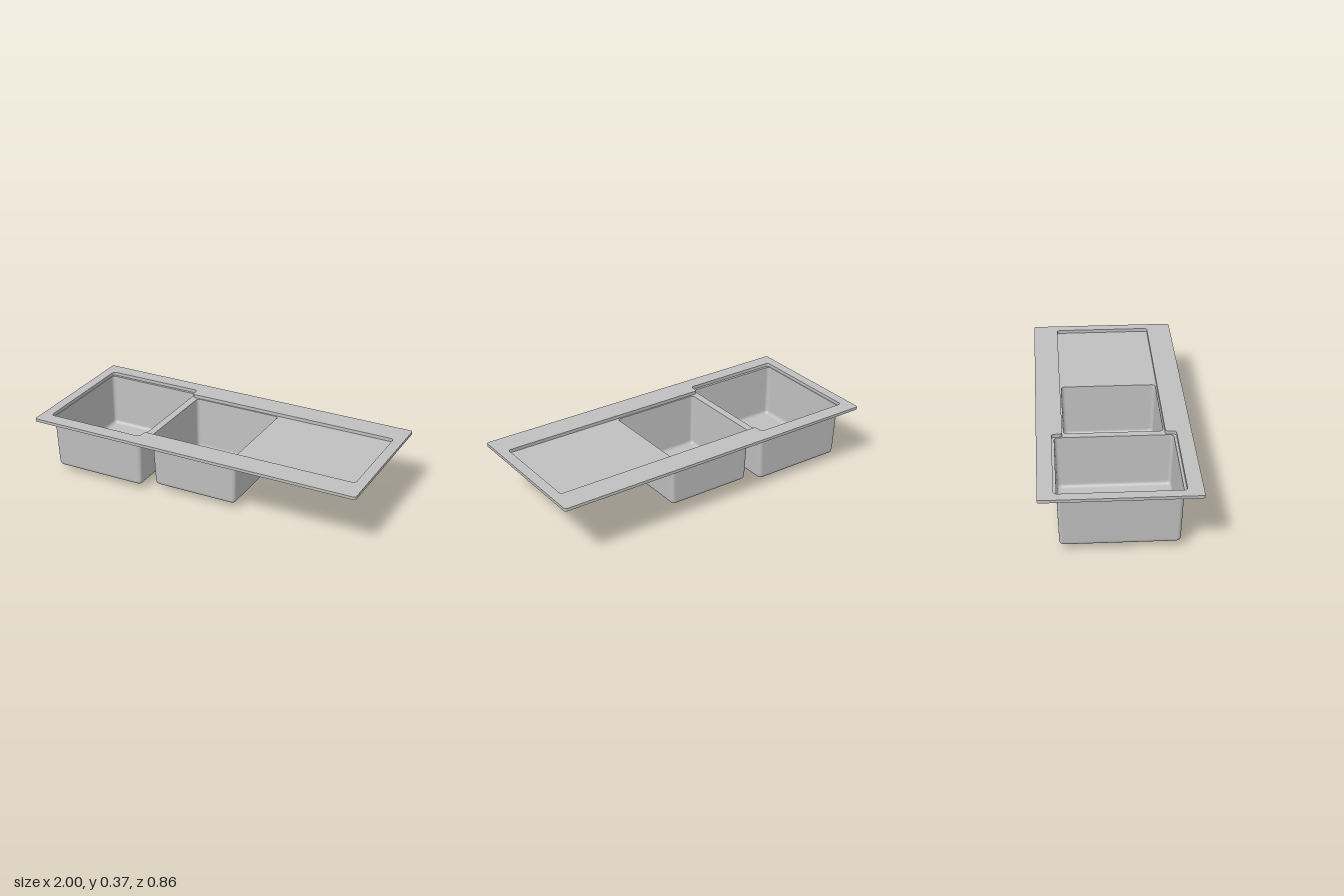
import * as THREE from 'three';
import { toCreasedNormals } from 'three/addons/utils/BufferGeometryUtils.js';

const steel = new THREE.MeshStandardMaterial({ color: 0xbfbfbf, side: THREE.DoubleSide });
steel.name = 'brushedSteel';

const TOP = 0.37, TRAY = 0.35;

// Closed outline with every corner rounded by r
function roundedOutline(corners, r) {
  const pts = corners.map(([x, z]) => new THREE.Vector2(x, z));
  const n = pts.length, out = [];
  pts.forEach((p, i) => {
    const toward = (q) => p.clone().add(q.clone().sub(p).setLength(r));
    const a = toward(pts[(i + n - 1) % n]), b = toward(pts[(i + 1) % n]);
    out.push(...new THREE.QuadraticBezierCurve(a, p, b).getPoints(5));
  });
  return out;
}

// Rounded rectangle with evenly divided sides, so that rings can be lofted
function rectRing(cx, hx, hz, r) {
  const out = [], signs = [[1, 1], [-1, 1], [-1, -1], [1, -1]];
  const arcs = signs.map(([sx, sz], k) => {
    const arc = [];
    for (let i = 0; i <= 6; i++) {
      const a = (k + i / 6) * Math.PI / 2;
      arc.push(new THREE.Vector2(cx + sx * (hx - r) + r * Math.cos(a), sz * (hz - r) + r * Math.sin(a)));
    }
    return arc;
  });
  arcs.forEach((arc, k) => {
    out.push(...arc);
    const next = arcs[(k + 1) % 4][0];
    for (let i = 1; i < 14; i++) out.push(arc[6].clone().lerp(next, i / 14));
  });
  return out;
}

// Skin between successive closed rings of { y, pts }
function loft(rings) {
  const n = rings[0].pts.length, pos = [], index = [];
  rings.forEach(({ y, pts }) => pts.forEach((p) => pos.push(p.x, y, p.y)));
  for (let j = 0; j < rings.length - 1; j++) {
    for (let i = 0; i < n; i++) {
      const a = j * n + i, b = j * n + (i + 1) % n;
      index.push(a, b, a + n, b, b + n, a + n);
    }
  }
  const g = new THREE.BufferGeometry();
  g.setAttribute('position', new THREE.Float32BufferAttribute(pos, 3));
  g.setIndex(index);
  g.computeVertexNormals();
  return g;
}

// Flat horizontal sheet with openings
function sheet(outline, holes, y) {
  const shape = new THREE.Shape(outline);
  shape.holes = holes.map((h) => new THREE.Path(h));
  return new THREE.ShapeGeometry(shape).rotateX(-Math.PI / 2).translate(0, y, 0);
}

function add(group, name, geometry) {
  const mesh = new THREE.Mesh(geometry, steel);
  mesh.name = name;
  group.add(mesh);
}

function makeBowl(name, { cx, hx, hz, drainX }) {
  const bowl = new THREE.Group();
  bowl.name = name;
  const rings = [];
  const level = (y, inset, r) => rings.push({ y, pts: rectRing(cx, hx - inset, hz - inset, r) });
  // Tapered walls
  level(TRAY, 0, 0.02);
  level(0.06, 0.01, 0.02);
  // Rounded bottom edge
  for (let i = 0; i <= 5; i++) {
    const a = i / 5 * Math.PI / 2;
    level(0.055 - 0.021 * Math.sin(a), 0.01 + 0.021 * (1 - Math.cos(a)), 0.025 - 0.01 * i / 5);
  }
  // Floor falling to the drain, then the drain neck
  const edge = rings[rings.length - 1].pts;
  const neck = [[0.105, 0.027], [0.085, 0.0255], [0.075, 0.022], [0.068, 0.016], [0.065, 0.009], [0.065, 0]];
  neck.forEach(([r, y]) => rings.push({
    y,
    pts: edge.map((p) => {
      const a = Math.atan2(p.y, p.x - drainX);
      return new THREE.Vector2(drainX + r * Math.cos(a), r * Math.sin(a));
    }),
  }));
  add(bowl, 'basin', loft(rings));
  // Drain cover and closed neck end
  [['drainCover', 0.105, 0.0275], ['drainEnd', 0.065, 0]].forEach(([part, r, y]) => {
    add(bowl, part, new THREE.CircleGeometry(r, 48).rotateX(-Math.PI / 2).translate(drainX, y, 0));
  });
  return bowl;
}

export function createModel() {
  const sink = new THREE.Group();
  sink.name = 'sink';

  const outer = roundedOutline([[-1, -0.43], [1, -0.43], [1, 0.43], [-1, 0.43]], 0.015);
  const recess = roundedOutline([
    [-0.942, -0.345], [-0.348, -0.345], [-0.348, -0.285], [0.94, -0.285],
    [0.94, 0.285], [-0.348, 0.285], [-0.348, 0.345], [-0.942, 0.345],
  ], 0.02);
  const bowls = {
    largeBowl: { cx: -0.646, hx: 0.292, hz: 0.33, drainX: -0.535 },
    smallBowl: { cx: -0.042, hx: 0.268, hz: 0.277, drainX: -0.11 },
  };

  // Rim, its turned-down edge and the stepped recess
  const wall = (pts, low) => toCreasedNormals(loft([{ y: TOP, pts }, { y: low, pts }]), 0.6);
  add(sink, 'rim', sheet(outer, [recess], TOP));
  add(sink, 'rimEdge', wall(outer, 0.353));
  add(sink, 'recessWall', wall(recess, TRAY));

  // Draining tray with the two bowl openings
  const openings = Object.values(bowls).map((b) => rectRing(b.cx, b.hx, b.hz, 0.02));
  add(sink, 'drainingTray', sheet(recess, openings, TRAY));

  for (const [name, spec] of Object.entries(bowls)) sink.add(makeBowl(name, spec));
  return sink;
}
